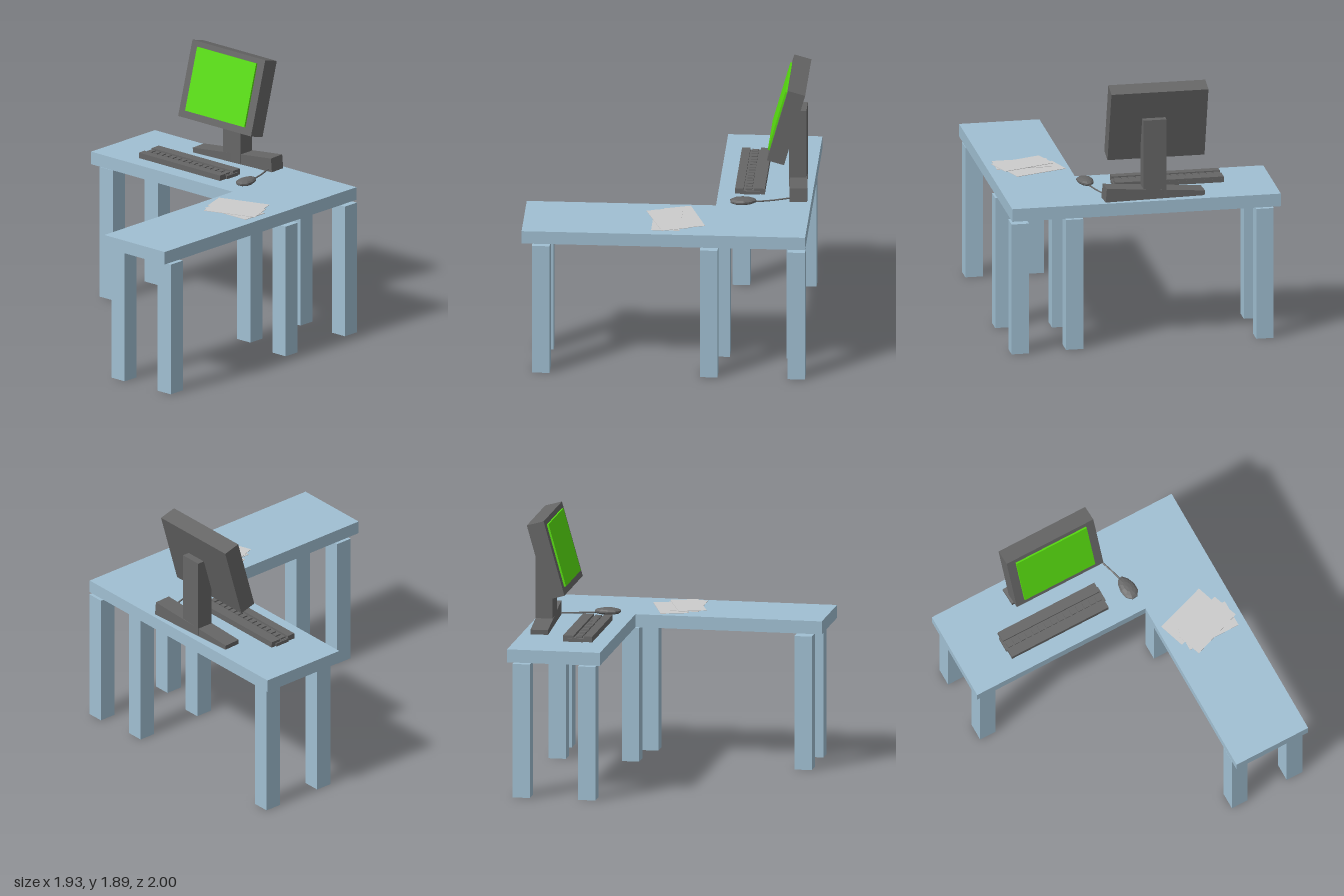
import * as THREE from 'three';

const paint = (color) => new THREE.MeshStandardMaterial({ color, flatShading: true });
const deskMat = paint(0xa0bfd2);
const darkMat = paint(0x666666);
const screenMat = paint(0x58dc10);
const paperMat = new THREE.MeshStandardMaterial({ color: 0xcccccc });

function box(name, parent, mat, [w, h, d], [x, y, z]) {
  const m = new THREE.Mesh(new THREE.BoxGeometry(w, h, d), mat);
  m.name = name;
  m.position.set(x, y, z);
  parent.add(m);
  return m;
}

function makeDesk() {
  const desk = new THREE.Group();
  desk.name = 'desk';

  // L-shaped top, drawn in plan (shape y = -z) and laid flat
  const plan = [[-0.965, 1], [-0.965, 0.335], [0.385, 0.335], [0.385, -1], [0.96, -1], [0.96, 1]];
  const shape = new THREE.Shape(plan.map(([x, y]) => new THREE.Vector2(x, y)));
  const geo = new THREE.ExtrudeGeometry(shape, { depth: 0.093, bevelEnabled: false });
  const top = new THREE.Mesh(geo.rotateX(-Math.PI / 2), deskMat);
  top.name = 'deskTop';
  top.position.y = 0.98;
  desk.add(top);

  // Eight square legs
  const legs = [
    [-0.857, -0.907], [-0.857, -0.438], [0.507, -0.907], [0.507, -0.382],
    [0.902, -0.937], [0.902, -0.32], [0.45, 0.865], [0.89, 0.865],
  ];
  for (const [x, z] of legs) box('leg', desk, deskMat, [0.125, 0.96, 0.125], [x, 0.48, z]);
  return desk;
}

function makeMonitor() {
  const monitor = new THREE.Group();
  monitor.name = 'monitor';

  // Crooked foot that sinks into the desk at one end
  const foot = box('monitorFoot', monitor, darkMat, [0.715, 0.125, 0.125], [-0.07, 1.078, -0.89]);
  foot.rotation.set(0, 0.055, 0.092);
  box('monitorPost', monitor, darkMat, [0.165, 0.575, 0.122], [-0.073, 1.367, -0.888]);

  // Tilted housing with a slightly raised screen
  const head = new THREE.Group();
  head.name = 'monitorHead';
  head.position.set(-0.107, 1.613, -0.82);
  head.rotation.x = -0.275;
  box('housing', head, darkMat, [0.695, 0.55, 0.125], [0, 0, 0]);
  box('screen', head, screenMat, [0.565, 0.46, 0.03], [0, 0.007, 0.061]);
  monitor.add(head);
  return monitor;
}

function makeKeyboard() {
  const keyboard = new THREE.Group();
  keyboard.name = 'keyboard';
  keyboard.position.set(-0.232, 1.073, -0.56);
  box('keyboardBody', keyboard, darkMat, [0.775, 0.026, 0.21], [0, 0.013, 0]);
  box('keyboardRim', keyboard, darkMat, [0.795, 0.024, 0.11], [0, 0.012, -0.015]);
  box('backKeys', keyboard, darkMat, [0.775, 0.016, 0.075], [0, 0.034, -0.067]);
  box('frontKeys', keyboard, darkMat, [0.775, 0.014, 0.06], [0, 0.033, 0.075]);
  // Row of small keys in the channel between the banks
  for (let i = 0; i < 15; i++) {
    box('key', keyboard, darkMat, [0.038, 0.012, 0.045], [-0.357 + i * 0.051, 0.031, 0.008]);
  }
  return keyboard;
}

function makeMouse() {
  const mouse = new THREE.Group();
  mouse.name = 'mouse';

  // Faceted dome, narrower toward the cable
  const geo = new THREE.SphereGeometry(1, 10, 7);
  const p = geo.attributes.position;
  for (let i = 0; i < p.count; i++) {
    const z = p.getZ(i);
    p.setXYZ(i, p.getX(i) * 0.058 * (1 + 0.2 * z), p.getY(i) * 0.026, z * 0.098);
  }
  const body = new THREE.Mesh(geo, darkMat);
  body.name = 'mouseBody';
  body.position.set(0.345, 1.097, -0.525);
  body.rotation.y = 0.12;
  mouse.add(body);

  // Cable running back to the monitor foot
  const path = new THREE.CatmullRomCurve3([
    new THREE.Vector3(0.335, 1.088, -0.6),
    new THREE.Vector3(0.298, 1.087, -0.73),
    new THREE.Vector3(0.25, 1.09, -0.86),
  ]);
  const cable = new THREE.Mesh(new THREE.TubeGeometry(path, 8, 0.006, 6), darkMat);
  cable.name = 'mouseCable';
  mouse.add(cable);
  return mouse;
}

function makePapers() {
  const papers = new THREE.Group();
  papers.name = 'papers';
  // x, z and turn of each sheet
  const sheets = [[0.633, -0.127, 0.32], [0.705, -0.01, 0], [0.702, -0.015, 0.34]];
  sheets.forEach(([x, z, turn], i) => {
    const s = box('paperSheet', papers, paperMat, [0.39, 0.003, 0.2], [x, 1.077 + i * 0.004, z]);
    s.rotation.y = turn;
  });
  return papers;
}

export function createModel() {
  const model = new THREE.Group();
  model.name = 'computerDesk';
  model.add(makeDesk(), makeMonitor(), makeKeyboard(), makeMouse(), makePapers());
  return model;
}
